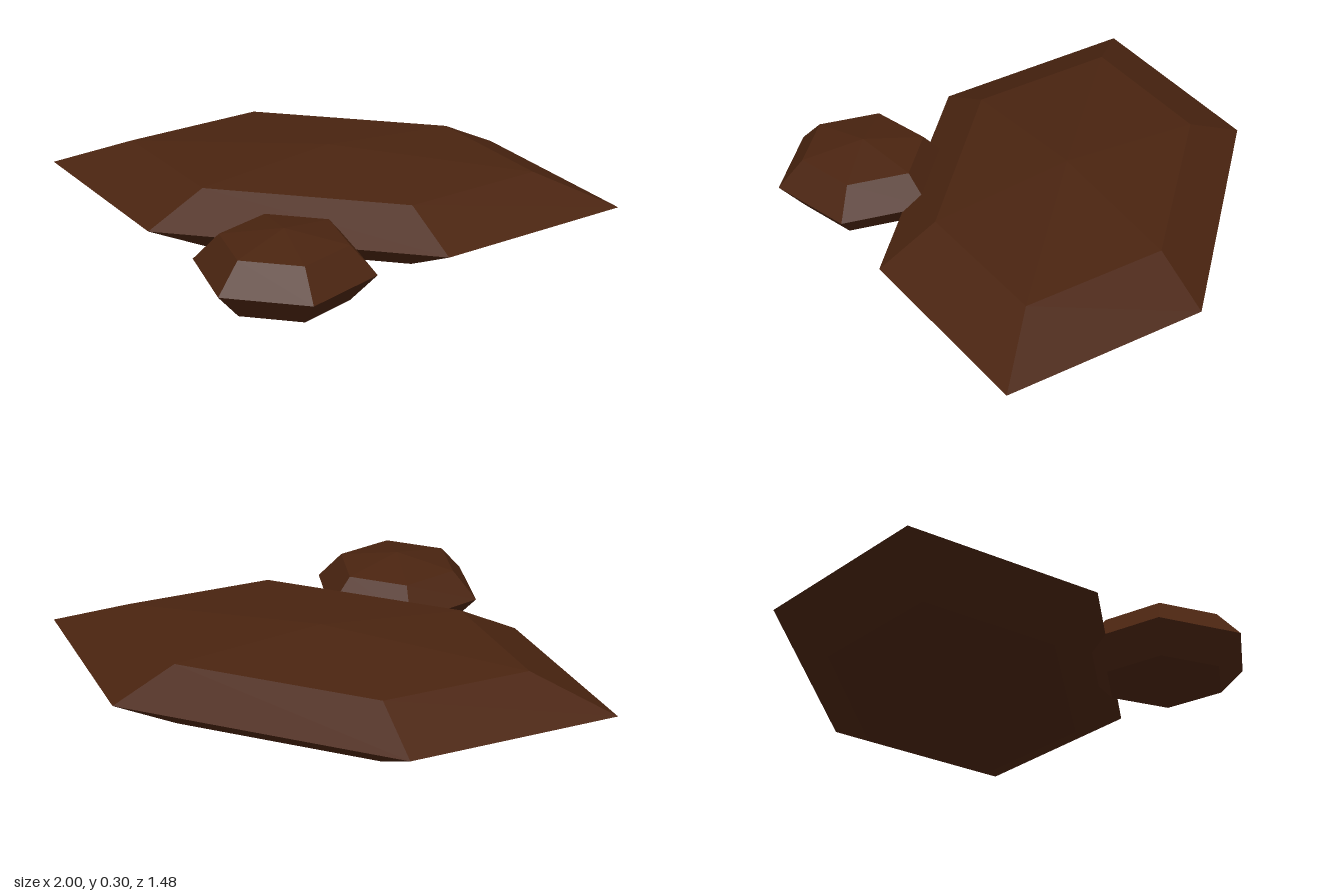
import * as THREE from 'three';

const brown = new THREE.MeshStandardMaterial({ color: 0x4a2410, flatShading: true });
brown.name = 'dark brown';

// Six-sided faceted ellipsoid
function facetedBlob(name, radii, position) {
  const geometry = new THREE.SphereGeometry(1, 6, 4).scale(...radii);
  const mesh = new THREE.Mesh(geometry, brown);
  mesh.name = name;
  mesh.position.set(...position);
  return mesh;
}

export function createModel() {
  const model = new THREE.Group();
  model.name = 'flatBody';
  // Wide flat body at the back, small head overlapping its front edge
  model.add(
    facetedBlob('body', [1, 0.149, 0.6], [0, 0.15, -0.22]),
    facetedBlob('head', [0.3, 0.135, 0.3], [0, 0.152, 0.48]),
  );
  return model;
}
